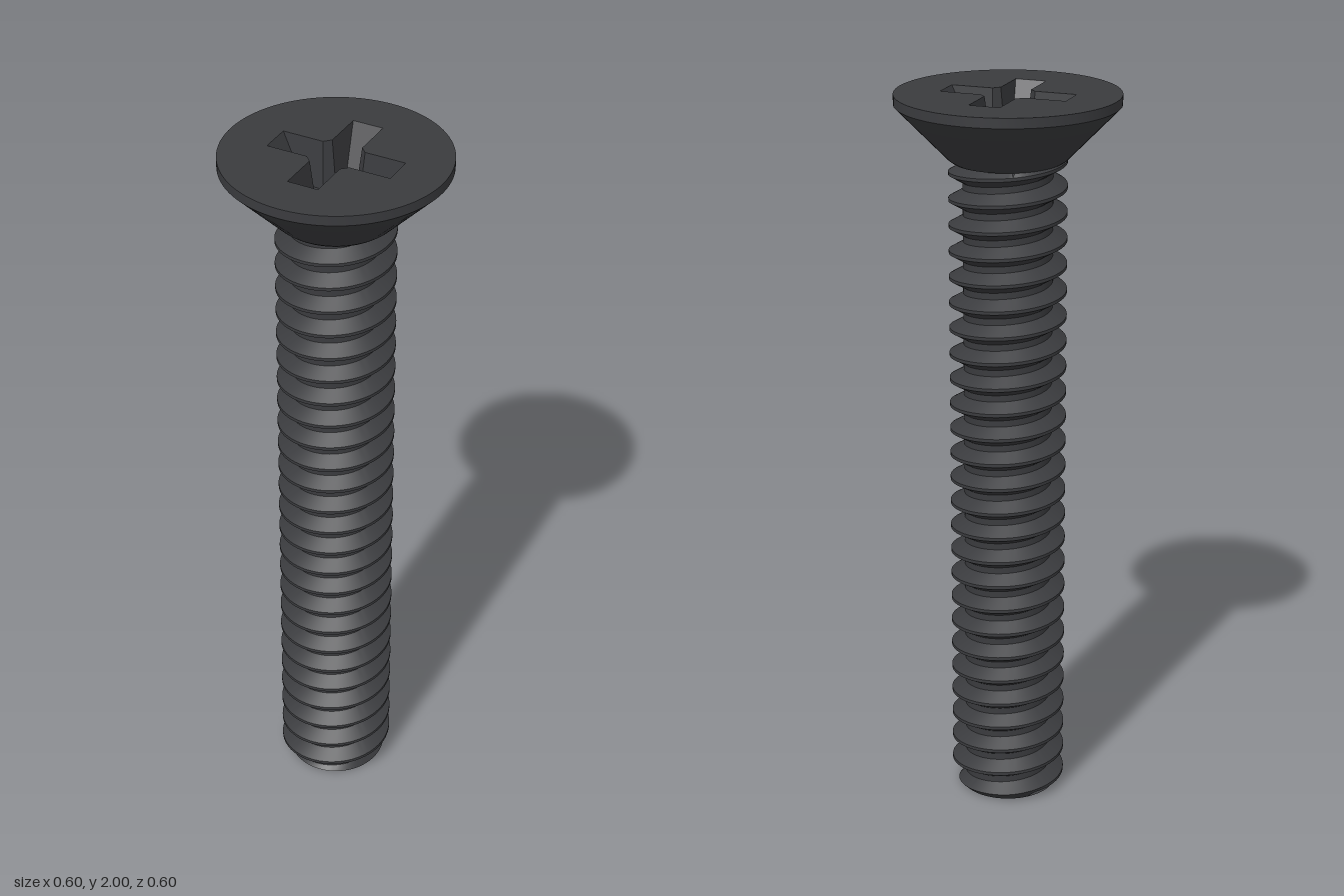
import * as THREE from 'three';
import { toCreasedNormals } from 'three/addons/utils/BufferGeometryUtils.js';

const HEIGHT = 2;
const HEAD_R = 0.3;
const PITCH = 0.0714;
const CREST_R = 0.158;
const ROOT_R = 0.12;
const TIP_R = 0.132;
const SHANK_TOP = 1.835;
const FLOOR_Y = HEIGHT - 0.13;
const DIP_R = 0.056;

const material = new THREE.MeshStandardMaterial({ color: 0x3a3b3e });

function addPart(group, name, geometry) {
  const mesh = new THREE.Mesh(geometry, material);
  mesh.name = name;
  group.add(mesh);
}

// Right-handed helical thread: each profile row climbs one pitch per turn
function threadGeometry() {
  const sides = 72;
  const profile = [[-0.0625, CREST_R], [0.0625, CREST_R], [0.375, ROOT_R], [0.625, ROOT_R]];
  const turns = Math.ceil(SHANK_TOP / PITCH) + 2;
  const positions = [];
  const index = [];
  let rows = 0;
  for (let k = -2; k <= turns; k++) {
    for (const [t, radius] of profile) {
      for (let i = 0; i <= sides; i++) {
        const a = (i / sides) * Math.PI * 2 - Math.PI;
        const y = 0.053 + PITCH * (k + t + a / (Math.PI * 2));
        // Chamfer the tip, and gather rows beyond either end
        let r = Math.min(radius, TIP_R + Math.max(y, 0));
        if (y <= 0) r = TIP_R;
        if (y >= SHANK_TOP) r = 0.14;
        positions.push(r * Math.sin(a), THREE.MathUtils.clamp(y, 0, SHANK_TOP), r * Math.cos(a));
      }
      rows++;
    }
  }
  const w = sides + 1;
  for (let j = 0; j < rows - 1; j++) {
    for (let i = 0; i < sides; i++) {
      const p = j * w + i;
      index.push(p, p + 1, p + w + 1, p, p + w + 1, p + w);
    }
  }
  const g = new THREE.BufferGeometry();
  g.setAttribute('position', new THREE.Float32BufferAttribute(positions, 3));
  g.setIndex(index);
  return toCreasedNormals(g, 0.4);
}

// Cross outline with chamfered inner corners, counter-clockwise
function crossOutline(half, reach, corner) {
  const arm = [[corner, half], [corner, -half], [reach, -half], [reach, half]];
  const order = [arm[1], arm[2], arm[3], arm[0]];
  const points = [];
  for (let q = 0; q < 4; q++) {
    for (const [x, y] of order) {
      points.push(new THREE.Vector2(x, y).rotateAround(new THREE.Vector2(), q * Math.PI / 2));
    }
  }
  return points;
}

// Tapered walls of the recess, facing inwards
function recessWalls(top, bottom) {
  const positions = [];
  const put = (p, y) => positions.push(p.x, y, -p.y);
  top.forEach((t, i) => {
    const j = (i + 1) % top.length;
    put(bottom[j], FLOOR_Y); put(bottom[i], FLOOR_Y); put(t, HEIGHT);
    put(bottom[j], FLOOR_Y); put(t, HEIGHT); put(top[j], HEIGHT);
  });
  const g = new THREE.BufferGeometry();
  g.setAttribute('position', new THREE.Float32BufferAttribute(positions, 3));
  g.computeVertexNormals();
  return g;
}

// Horizontal face with a hole, facing up
function flatFace(outline, hole, y) {
  const shape = new THREE.Shape(outline);
  shape.holes.push(new THREE.Path(hole));
  return new THREE.ShapeGeometry(shape).rotateX(-Math.PI / 2).translate(0, y, 0);
}

function circlePoints(radius, count) {
  return Array.from({ length: count }, (_, i) => {
    const a = (i / count) * Math.PI * 2;
    return new THREE.Vector2(radius * Math.cos(a), radius * Math.sin(a));
  });
}

function lathe(points, segments) {
  const g = new THREE.LatheGeometry(points.map(([r, y]) => new THREE.Vector2(r, y)), segments);
  return toCreasedNormals(g, 0.5);
}

export function createModel() {
  const screw = new THREE.Group();
  screw.name = 'countersunkScrew';

  // Threaded shank and its flat tip
  addPart(screw, 'thread', threadGeometry());
  addPart(screw, 'tipFace', new THREE.CircleGeometry(TIP_R, 72).rotateX(Math.PI / 2));

  // Countersunk head: short neck, cone and thin rim
  addPart(screw, 'head', lathe([
    [0.12, 1.815], [0.15, 1.822], [0.163, 1.832], [HEAD_R, 1.973], [HEAD_R, HEIGHT],
  ], 96));

  // Cross recess
  const top = crossOutline(0.0425, 0.174, 0.06);
  const bottom = crossOutline(0.028, 0.107, 0.052);
  addPart(screw, 'headTop', flatFace(circlePoints(HEAD_R, 96), top, HEIGHT));
  addPart(screw, 'recessWalls', recessWalls(top, bottom));
  addPart(screw, 'recessFloor', flatFace(bottom, circlePoints(DIP_R, 32), FLOOR_Y));
  addPart(screw, 'recessDip', lathe([[DIP_R, FLOOR_Y], [0, FLOOR_Y - 0.03]], 32));

  return screw;
}
